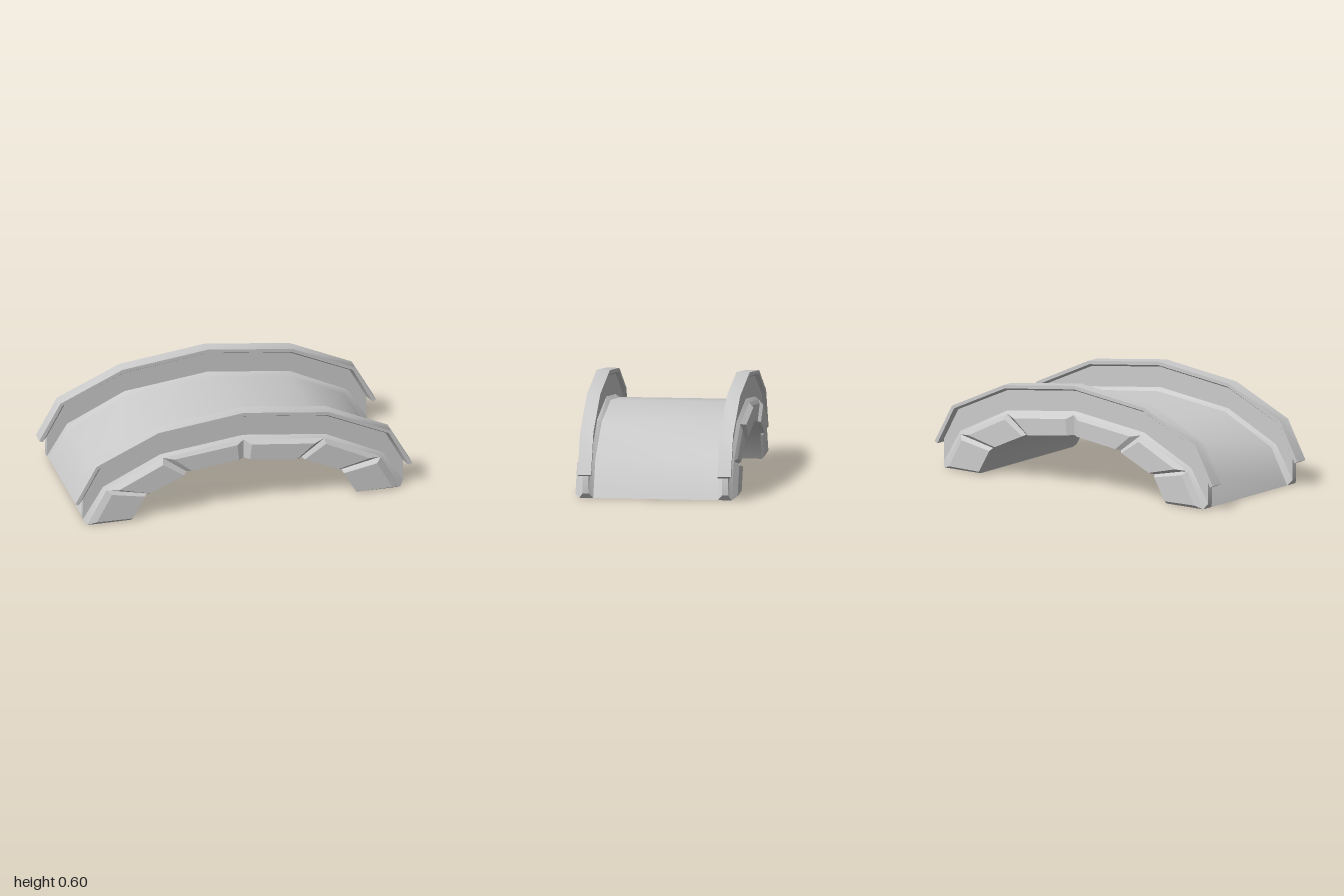
import * as THREE from 'three';
import { toCreasedNormals } from 'three/addons/utils/BufferGeometryUtils.js';

const material = new THREE.MeshStandardMaterial({ color: 0xcccccc });

// Half arch curves, listed from the crown to the foot, mirrored to a full arch
const arch = (half) => [
  ...half.slice(1).reverse().map(([x, y]) => [-x, y]),
  ...half,
];
const soffit = arch([[0, 0.315], [0.34, 0.27], [0.58, 0.16], [0.67, 0]]);
const deckTop = arch([[0, 0.43], [0.48, 0.375], [0.815, 0.21], [0.93, 0]]);
const curbTop = arch([[0, 0.45], [0.49, 0.39], [0.83, 0.225], [0.95, 0.03]]);
const wallTop = arch([[0, 0.57], [0.49, 0.51], [0.845, 0.35], [0.95, 0.16]]);
const capEdge = arch([[0, 0.582], [0.495, 0.522], [0.86, 0.356], [0.98, 0.135]]);
const capTop = arch([[0, 0.603], [0.505, 0.54], [0.875, 0.37], [1, 0.145]]);

function makeMesh(name, positions, crease) {
  const geometry = new THREE.BufferGeometry();
  geometry.setAttribute('position', new THREE.Float32BufferAttribute(positions, 3));
  const mesh = new THREE.Mesh(toCreasedNormals(geometry, crease), material);
  mesh.name = name;
  return mesh;
}

// Sweep along the arch; each level is [curve, zMin, zMax], from bottom to top
function sweep(name, levels) {
  const ring = [
    ...levels.map(([curve, , z]) => [curve, z]),
    ...levels.slice().reverse().map(([curve, z]) => [curve, z]),
  ];
  const n = ring.length;
  const last = soffit.length - 1;
  const point = (s, k) => {
    const [curve, z] = ring[k % n];
    return [curve[s][0], curve[s][1], z];
  };
  const out = [];
  for (let s = 0; s < last; s++) {
    for (let k = 0; k < n; k++) {
      const a = point(s, k), b = point(s + 1, k);
      const c = point(s + 1, k + 1), d = point(s, k + 1);
      out.push(...a, ...b, ...c, ...a, ...c, ...d);
    }
  }
  // Close both ends, one strip per pair of levels
  for (let k = 0; k < levels.length - 1; k++) {
    const o = n - 1 - k;
    for (const [s, q] of [[0, [o, k, k + 1, o - 1]], [last, [o - 1, k + 1, k, o]]]) {
      const [a, b, c, d] = q.map((i) => point(s, i));
      out.push(...a, ...b, ...c, ...a, ...c, ...d);
    }
  }
  return makeMesh(name, out, 0.66);
}

// Bevelled facing stone over one segment of the arch
function facingStone(segment, side, depth) {
  const corner = (u, v, z) => {
    const mix = (axis) => {
      const low = THREE.MathUtils.lerp(soffit[segment][axis], soffit[segment + 1][axis], u);
      const high = THREE.MathUtils.lerp(deckTop[segment][axis], deckTop[segment + 1][axis], u);
      return THREE.MathUtils.lerp(low, high, v);
    };
    return [mix(0), mix(1), z * side];
  };
  const base = [[0, 0], [1, 0], [1, 1], [0, 1]].map(([u, v]) => corner(u, v, 0.44));
  const face = [[0.09, 0], [0.91, 0], [0.91, 0.83], [0.09, 0.83]]
    .map(([u, v]) => corner(u, v, depth));
  const quads = [face];
  for (let k = 0; k < 4; k++) {
    const j = (k + 1) % 4;
    quads.push([base[k], base[j], face[j], face[k]]);
  }
  const out = [];
  for (const quad of quads) {
    const [a, b, c, d] = side > 0 ? quad : quad.slice().reverse();
    out.push(...a, ...b, ...c, ...a, ...c, ...d);
  }
  return makeMesh('facingStone', out, 0.3);
}

export function createModel() {
  const bridge = new THREE.Group();
  bridge.name = 'archBridge';

  // Arched deck
  bridge.add(sweep('deck', [[soffit, -0.44, 0.44], [deckTop, -0.44, 0.44]]));

  for (const side of [1, -1]) {
    const span = (a, b) => (side > 0 ? [a, b] : [-b, -a]);
    const parapet = new THREE.Group();
    parapet.name = side > 0 ? 'frontParapet' : 'backParapet';

    // Sloped curb, thin wall and overhanging coping
    parapet.add(
      sweep('curb', [[deckTop, ...span(0.36, 0.44)], [curbTop, ...span(0.385, 0.42)]]),
      sweep('wall', [[curbTop, ...span(0.385, 0.42)], [wallTop, ...span(0.385, 0.42)]]),
      sweep('coping', [
        [wallTop, ...span(0.385, 0.42)],
        [capEdge, ...span(0.365, 0.442)],
        [capTop, ...span(0.365, 0.442)],
      ]),
    );

    // Facing stones, alternately proud and shallow
    for (let i = 0; i < soffit.length - 1; i++) {
      parapet.add(facingStone(i, side, i % 2 ? 0.468 : 0.455));
    }
    bridge.add(parapet);
  }
  return bridge;
}
